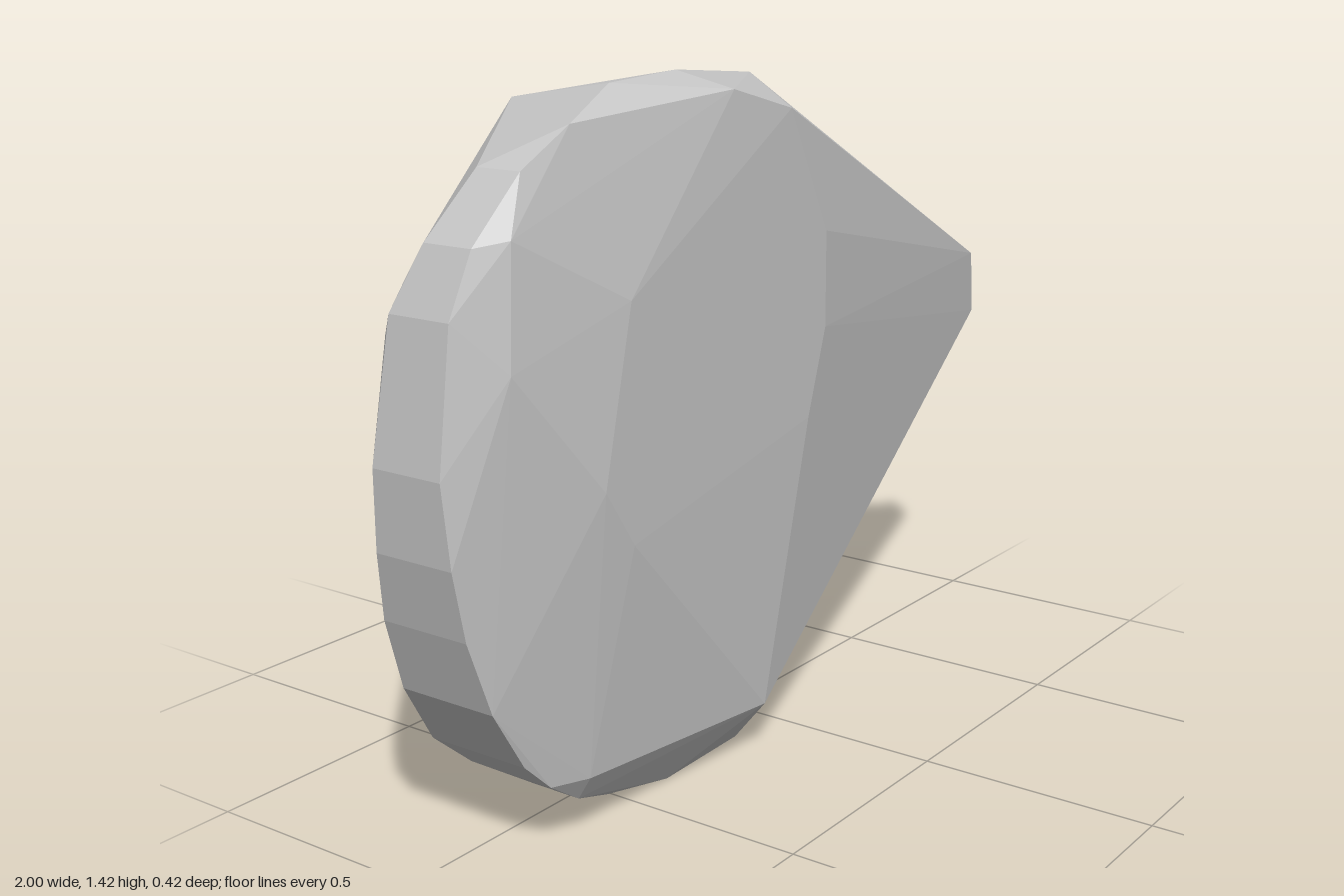
import * as THREE from 'three';
import { ConvexGeometry } from 'three/addons/geometries/ConvexGeometry.js';

// Corner points [x, y, z] of the faceted stone, grouped by zone
const pointedEnd = [[0.97, 0.88, 0.04], [1, 0.73, 0.03]];
const topRidge = [
  [0.15, 1.38, -0.06], [0.12, 1.375, -0.17], [-0.32, 1.425, 0.1], [-0.52, 1.415, 0.1],
  [-0.47, 1.37, -0.18], [-0.27, 1.39, 0.2], [-0.69, 1.36, 0.15],
];
const underside = [
  [0.21, 0.14, 0], [-0.14, 0.005, 0.11], [-0.38, 0, 0.11], [-0.57, 0.04, 0.11],
  [-0.16, 0.11, 0.2], [0.25, 0.25, -0.19], [0.09, 0.14, -0.185], [-0.45, 0.165, -0.205],
];
// Flat faces lie on constant z: [x, y]
const frontFace = [[-0.09, 1.34], [0.04, 1.08], [0.04, 0.88], [-0.02, 0.7], [-0.6, 0.58], [-0.68, 0.7], [-0.6, 1.04]];
const backFace = [
  [0.48, 1], [0.15, 1.28], [0.06, 1.33], [-0.03, 1.345], [-0.23, 1.345], [-0.46, 1.27], [-0.56, 1.2], [-0.74, 1.06],
  [-0.8, 0.96], [-0.8, 0.65], [-0.78, 0.54], [-0.63, 0.36], [-0.37, 0.26], [-0.19, 0.25], [0.24, 0.31], [0.42, 0.65],
];
// Rounded end: [x, y, back z, front z] gives one short crosswise edge each
const roundedEnd = [
  [-0.81, 1.29, 0.04, 0.14], [-0.915, 1.17, 0.01, 0.12], [-0.965, 1.05, -0.03, 0.11],
  [-1, 0.78, -0.05, 0.11], [-0.99, 0.62, -0.06, 0.12], [-0.96, 0.48, -0.08, 0.12],
  [-0.91, 0.33, -0.09, 0.13], [-0.83, 0.2, -0.1, 0.13], [-0.77, 0.14, -0.06, 0.14], [-0.68, 0.08, 0.02, 0.13],
];
const frontShoulder = [[-0.86, 1.18, 0.16], [-0.88, 0.95, 0.17], [-0.68, 0.13, 0.16]];

export function createModel() {
  const group = new THREE.Group();
  group.name = 'stone';
  const grey = new THREE.MeshStandardMaterial({ color: 0xc5c5c5 });
  grey.name = 'stone grey';

  const corners = [
    ...pointedEnd, ...topRidge, ...underside, ...frontShoulder,
    ...frontFace.map(([x, y]) => [x, y, 0.21]),
    ...backFace.map(([x, y]) => [x, y, -0.21]),
    ...roundedEnd.flatMap(([x, y, back, front]) => [[x, y, back], [x, y, front]]),
  ].map((p) => new THREE.Vector3(...p));

  // The stone is the convex skin around its corners, with flat facets
  const body = new THREE.Mesh(new ConvexGeometry(corners), grey);
  body.name = 'stoneBody';
  group.add(body);
  return group;
}
